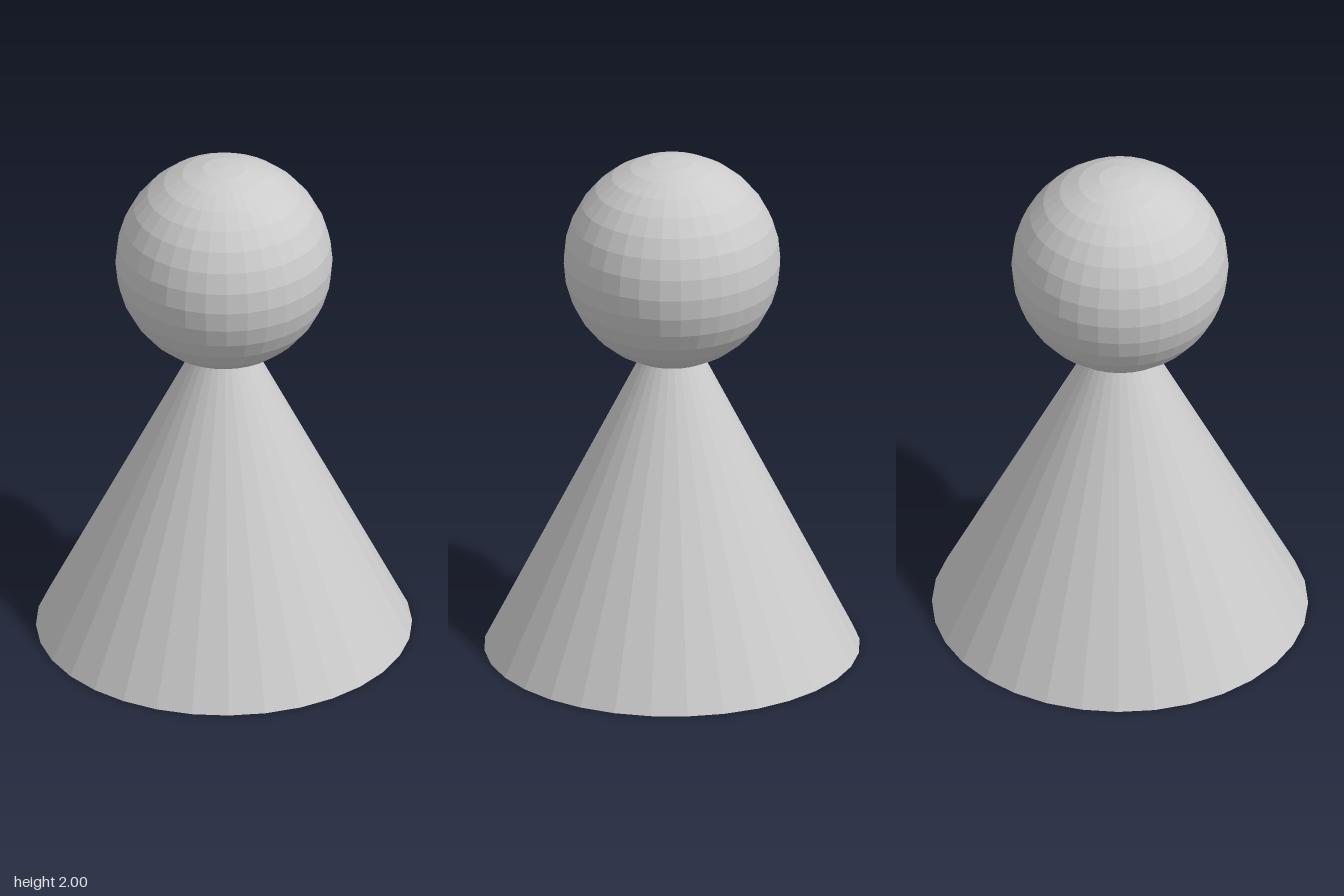
import * as THREE from 'three';

const HEAD_RADIUS = 0.414;
const BASE_RADIUS = 0.717;
const CONE_HEIGHT = 1.43;

export function createModel() {
  const group = new THREE.Group();
  group.name = 'pawn';
  const material = new THREE.MeshStandardMaterial({ color: 0xcccccc, flatShading: true });

  // Conical body with a closed base; its tip sits inside the head
  const body = new THREE.Mesh(new THREE.ConeGeometry(BASE_RADIUS, CONE_HEIGHT, 32), material);
  body.name = 'body';
  body.position.y = CONE_HEIGHT / 2;

  // Faceted ball head
  const head = new THREE.Mesh(new THREE.SphereGeometry(HEAD_RADIUS, 32, 16), material);
  head.name = 'head';
  head.position.y = 2 - HEAD_RADIUS;

  group.add(body, head);
  return group;
}
